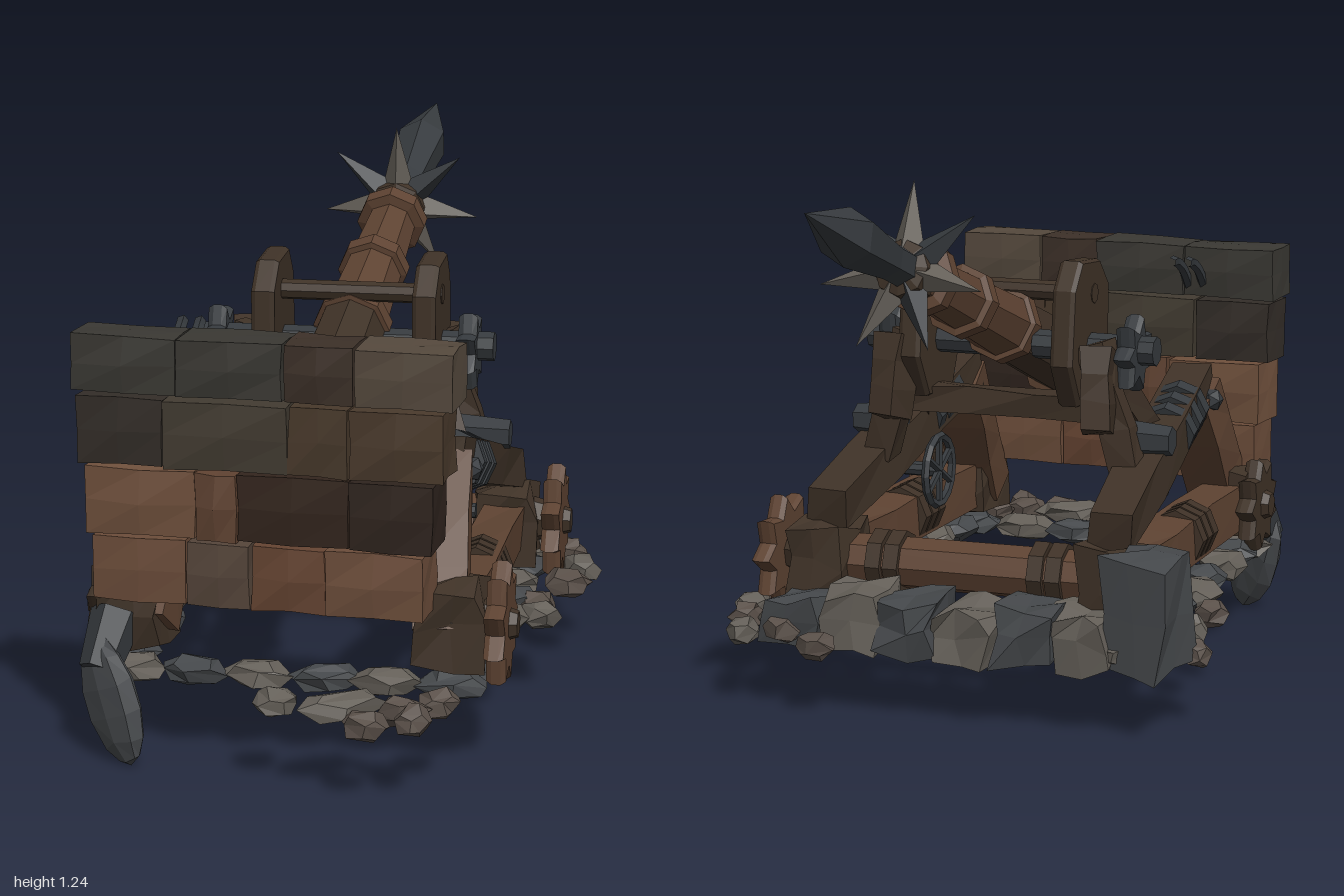
import * as THREE from 'three';

const WOOD = 0x5e4332, OAK = 0x3f3227, IRON = 0x363a3e, STONE = 0x645f58, SLATE = 0x45484b;
const mats = {};
const mat = c => mats[c] ??= new THREE.MeshStandardMaterial({ color: c, flatShading: true });
const V = (x, y, z) => new THREE.Vector3(x, y, z);

let seed = 7;
const rnd = () => (seed = (seed * 16807) % 2147483647) / 2147483647;

// Moves every vertex by an amount that depends on its place, so shared corners stay together
function rough(geo, amt, k = 0) {
  const p = geo.attributes.position;
  const noise = (a, b, c, n) => {
    const v = Math.sin(a * 127.1 + b * 311.7 + c * 74.7 + n * 19.3 + k * 7.7) * 43758.5453;
    return (v - Math.floor(v) - 0.5) * 2 * amt;
  };
  for (let i = 0; i < p.count; i++) {
    const [x, y, z] = [p.getX(i), p.getY(i), p.getZ(i)];
    const [a, b, c] = [x, y, z].map(v => Math.round(v * 500));
    p.setXYZ(i, x + noise(a, b, c, 1), y + noise(a, b, c, 2), z + noise(a, b, c, 3));
  }
  return geo;
}

function add(parent, name, geo, color, pos) {
  const m = new THREE.Mesh(geo, mat(color));
  m.name = name;
  if (pos) m.position.copy(pos);
  parent.add(m);
  return m;
}

// Lays a geometry whose length runs along z between two points
function span(parent, name, geo, color, a, b) {
  const m = new THREE.Mesh(geo, mat(color));
  m.name = name;
  m.position.copy(a).lerp(b, 0.5);
  m.lookAt(b);
  parent.add(m);
}
const beam = (p, name, color, a, b, w, h) =>
  span(p, name, rough(new THREE.BoxGeometry(w, h, a.distanceTo(b), 1, 1, 3), 0.008, w), color, a, b);
const rod = (p, name, color, a, b, r, r2 = r, sides = 8) =>
  span(p, name, new THREE.CylinderGeometry(r2, r, a.distanceTo(b), sides).rotateX(Math.PI / 2), color, a, b);

// Collars around a beam at fractions of its length
function bands(p, name, color, a, b, r, list) {
  const d = b.clone().sub(a).normalize().multiplyScalar(0.018);
  for (const t of list) {
    const c = a.clone().lerp(b, t);
    rod(p, name, color, c.clone().sub(d), c.clone().add(d), r);
  }
}

// Toothed disc facing sideways
function star(p, name, color, pos, r, inner, teeth, depth) {
  const s = new THREE.Shape();
  for (let i = 0; i < teeth * 2; i++) {
    const a = i * Math.PI / teeth, q = i % 2 ? inner : r;
    s[i ? 'lineTo' : 'moveTo'](Math.cos(a) * q, Math.sin(a) * q);
  }
  const g = new THREE.ExtrudeGeometry(s, { depth, bevelEnabled: true, bevelSize: 0.006, bevelThickness: 0.012, bevelSegments: 1 });
  add(p, name, g.translate(0, 0, -depth / 2).rotateY(Math.PI / 2), color, pos);
}

function rock(p, pos, sx, sy, sz, color) {
  const m = add(p, 'groundStone', rough(new THREE.DodecahedronGeometry(1), 0.15, rnd() * 50), color, pos);
  m.scale.set(sx, sy, sz);
  m.rotation.y = rnd() * 0.8 - 0.4;
}

function buildWall(root) {
  const wall = new THREE.Group();
  wall.name = 'blockWall';
  wall.position.set(-0.185, 0, 0.69);
  wall.rotation.y = -0.27;
  root.add(wall);
  const rows = [
    [0.365, 0.508, [-0.58, -0.37, -0.23, -0.07, 0.14], [0x6c4d3a, 0x55453a, 0x654432, 0x6c4d3a]],
    [0.515, 0.663, [-0.59, -0.35, -0.26, -0.02, 0.16], [0x6f503c, 0x604332, 0x33251d, 0x2f241e]],
    [0.67, 0.82, [-0.61, -0.42, -0.15, -0.02, 0.18], [0x332d28, 0x423b31, 0x48392b, 0x4a3a2c]],
    [0.83, 0.955, [-0.62, -0.39, -0.16, -0.01, 0.2], [0x3a3833, 0x3a3833, 0x3c3028, 0x55493d]],
  ];
  rows.forEach(([y0, y1, xs, cols], r) => {
    for (let i = 0; i < 4; i++) {
      const a = (xs[i] + 0.2) / 0.965, b = (xs[i + 1] + 0.2) / 0.965;
      const g = new THREE.BoxGeometry(b - a - 0.004, y1 - y0, 0.13 + (i % 2) * 0.008, 2, 2, 2);
      const p = g.attributes.position;
      // Blocks swell a little in the middle of the front and back
      for (let k = 0; k < p.count; k++)
        if (Math.abs(p.getX(k)) + Math.abs(p.getY(k)) < 0.001) p.setZ(k, p.getZ(k) * 1.15);
      add(wall, 'wallBlock', rough(g, 0.003, r * 4 + i), cols[i], V((a + b) / 2, (y0 + y1) / 2, 0));
    }
  });
}

function buildRam(frame) {
  const a = V(-0.005, 0.62, 0.57), b = V(0.065, 1.23, -1.02);
  const ram = new THREE.Group();
  ram.name = 'ram';
  ram.position.copy(a);
  ram.quaternion.setFromUnitVectors(V(0, 1, 0), b.clone().sub(a).normalize());
  frame.add(ram);
  const turned = (name, color, pts, n = 8) =>
    add(ram, name, new THREE.LatheGeometry(pts.map(([r, y]) => new THREE.Vector2(r, y)), n), color);
  turned('ramButt', WOOD, [[0, 0], [0.075, 0], [0.085, 0.2]]);
  turned('ramCollar', WOOD, [[0.08, 0.17], [0.105, 0.18], [0.105, 0.24], [0.08, 0.25]]);
  turned('ramBody', OAK, [[0.088, 0.22], [0.08, 0.64]]);
  turned('ramNeck', WOOD, [[0.08, 0.64], [0.055, 1.22]]);
  for (const [y, r] of [[0.62, 0.092], [0.87, 0.085], [1.1, 0.085]])
    turned('ramRing', WOOD, [[r - 0.03, y - 0.028], [r, y - 0.02], [r, y + 0.02], [r - 0.03, y + 0.028]]);
  turned('spikeCollar', OAK, [[0.04, 1.14], [0.07, 1.16], [0.065, 1.22], [0, 1.24]]);
  turned('spearHead', IRON, [[0.045, 1.2], [0.045, 1.3], [0.066, 1.5], [0, 1.71]], 6);
  // Ring of broad spikes
  for (let i = 0; i < 7; i++) {
    const t = i * Math.PI / 3.5 - 0.2, c = Math.cos(t), s = Math.sin(t);
    rod(ram, 'collarSpike', i % 2 ? IRON : STONE, V(c * 0.04, 1.19, s * 0.04), V(c * 0.2, 1.21, s * 0.2), 0.04, 0, 4);
  }
}

function buildSide(frame, s) {
  const P = (x, y, z) => V(x * s, y, z);
  const front = P(0.355, 0.32, 0.62), rear = P(0.36, 0.31, -0.27);
  // Lower rail, front brace and sloping upper rail
  beam(frame, 'lowerRail', WOOD, front, rear, 0.1, 0.11);
  bands(frame, 'railBand', OAK, front, rear, 0.072, [0.4, 0.45, 0.5]);
  const knee = P(0.31, 0.63, 0.42), tail = P(0.35, 0.43, -0.3);
  beam(frame, 'frontBrace', WOOD, P(0.33, 0.29, 0.65), knee, 0.12, 0.11);
  beam(frame, 'upperRail', OAK, P(0.305, 0.645, 0.46), tail, 0.1, 0.1);
  bands(frame, 'railWrap', IRON, knee, tail, 0.07, [0.14, 0.22, 0.3]);
  add(frame, 'kneeBolt', new THREE.IcosahedronGeometry(0.03), IRON, P(0.365, 0.61, 0.42));
  // Corner blocks
  for (const c of [front, rear])
    add(frame, 'cornerBlock', rough(new THREE.BoxGeometry(0.14, 0.17, 0.17, 2, 2, 2), 0.016, s), OAK, c);
  // Eight-sided bearing plate beside the ram
  const o = new THREE.Shape([[-0.07, -0.17], [0.07, -0.16], [0.13, -0.06], [0.11, 0.11], [0.06, 0.17], [-0.06, 0.16], [-0.12, 0.1], [-0.12, -0.06]]
    .map(([x, y]) => new THREE.Vector2(x, y)));
  const plate = new THREE.ExtrudeGeometry(o, { depth: 0.035, bevelSize: 0.006, bevelThickness: 0.01, bevelSegments: 1 });
  add(frame, 'bearingPlate', plate.translate(0, 0, -0.018).rotateY(Math.PI / 2), OAK, V(s * 0.19 + 0.02, 0.835, 0.0));
  rod(frame, 'axle', IRON, P(0.06, 0.8, 0), P(0.36, 0.8, 0), 0.035);
  star(frame, 'axleStar', IRON, P(0.3, 0.79, 0), 0.085, 0.05, 7, 0.02);
  // Short legs carrying the plate
  beam(frame, 'rearLeg', OAK, P(0.31, 0.52, -0.06), P(0.23, 0.82, -0.06), 0.06, 0.07);
  beam(frame, 'frontLeg', OAK, P(0.32, 0.54, 0.18), P(0.22, 0.76, 0.03), 0.04, 0.045);
  beam(frame, 'legBlock', OAK, P(0.26, 0.63, -0.14), P(0.25, 0.82, -0.09), 0.07, 0.09);
  rod(frame, 'legBolt', IRON, P(0.28, 0.59, 0), P(0.4, 0.59, 0), 0.045, 0.035, 6);
  // Spoked hand wheel inside the frame
  const w = P(0.25, 0.44, 0.15);
  add(frame, 'handWheel', new THREE.TorusGeometry(0.085, 0.011, 5, 14).rotateY(Math.PI / 2), IRON, w);
  for (let i = 0; i < 3; i++) {
    const d = V(0, Math.cos(i * Math.PI / 3), Math.sin(i * Math.PI / 3)).multiplyScalar(0.085);
    rod(frame, 'wheelSpoke', IRON, w.clone().sub(d), w.clone().add(d), 0.009, 0.009, 5);
  }
  rod(frame, 'wheelShaft', IRON, w, P(0.34, 0.44, 0.15), 0.018);
}

export function createModel() {
  const root = new THREE.Group();
  root.name = 'siegeRam';
  const frame = new THREE.Group();
  frame.name = 'frame';
  frame.position.set(-0.015, 0, -0.006);
  frame.rotation.y = -0.2;
  root.add(frame);

  buildWall(root);
  buildRam(frame);
  for (const s of [1, -1]) buildSide(frame, s);

  // Toothed discs: two on the left side, a smaller one at the other front corner
  for (const [x, z, r, color] of [[0.46, 0.62, 0.13, WOOD], [0.48, -0.26, 0.13, WOOD], [-0.43, 0.6, 0.11, OAK]]) {
    star(frame, 'toothedDisc', color, V(x, 0.315, z), r, r * 0.7, 9, 0.02);
    rod(frame, 'discHub', OAK, V(Math.sign(x) * 0.36, 0.315, z), V(x + Math.sign(x) * 0.04, 0.315, z), 0.075, 0.03, 7);
  }

  // Cross members
  rod(frame, 'plateCrossbar', OAK, V(-0.2, 0.925, 0.02), V(0.24, 0.925, 0.02), 0.024);
  beam(frame, 'ramCradle', OAK, V(-0.25, 0.66, -0.02), V(0.27, 0.66, -0.02), 0.08, 0.06);
  const l = V(-0.36, 0.31, -0.24), r = V(0.37, 0.31, -0.27);
  rod(frame, 'rearBeam', WOOD, l, r, 0.062);
  bands(frame, 'rearBeamRing', OAK, l, r, 0.076, [0.2, 0.26, 0.74, 0.8]);

  // Thin hooks behind the wall
  for (const x of [-0.27, -0.23]) {
    const c = new THREE.CatmullRomCurve3([V(x, 0.84, 0.66), V(x, 0.9, 0.6), V(x, 0.93, 0.54), V(x - 0.01, 0.935, 0.47)]);
    add(frame, 'wallHook', new THREE.TubeGeometry(c, 8, 0.013, 5), IRON);
  }

  // Low stone sill at the back, with a taller stone at one corner
  for (let i = 0; i < 7; i++) {
    const t = i / 6, tall = i ? 0.11 + (i % 3) * 0.012 : 0.26;
    const g = rough(new THREE.BoxGeometry(0.14, tall, 0.17, 2, 2, 2), 0.016, i);
    const m = add(frame, 'sillStone', g, i % 2 ? STONE : SLATE, V(-0.47 + t * 0.82, 0.15 + tall / 2, -0.385 - t * 0.035));
    m.rotation.y = (i % 3 - 1) * 0.1;
  }

  // Flat footing stones closing the base at the front and sides
  for (let i = 0; i < 6; i++)
    rock(frame, V(-0.36 + i * 0.145, 0.185, 0.67), 0.085, 0.034, 0.055, i % 2 ? SLATE : STONE);
  for (const s of [1, -1])
    for (let i = 0; i < 8; i++)
      rock(frame, V(s * (0.37 + rnd() * 0.04), 0.19, -0.4 + i * 0.14), 0.065, 0.036, 0.08, i % 2 ? SLATE : STONE);

  // Loose rubble: x, z, radius across and along
  const rubble = [
    [0.55, -0.4, 0.04, 0.04], [0.56, -0.32, 0.045, 0.04], [0.575, -0.2, 0.045, 0.06], [0.53, -0.05, 0.06, 0.06],
    [0.44, 0.12, 0.05, 0.06], [0.44, 0.22, 0.05, 0.05], [0.36, -0.49, 0.05, 0.035], [0.45, -0.42, 0.05, 0.045],
    [-0.18, 0.82, 0.05, 0.05], [-0.04, 0.87, 0.1, 0.05], [0.09, 0.9, 0.06, 0.035],
    [0.01, 0.96, 0.055, 0.04], [0.11, 0.96, 0.04, 0.04], [0.17, 0.86, 0.05, 0.04],
    [-0.5, -0.4, 0.04, 0.04], [-0.46, -0.35, 0.05, 0.04], [-0.47, -0.21, 0.04, 0.05], [-0.5, -0.06, 0.045, 0.045],
  ];
  for (const [x, z, a, b] of rubble)
    rock(root, V(x, 0.17 + rnd() * 0.02, z), a, 0.036, b, rnd() > 0.5 ? STONE : 0x5a5049);

  // Flat hanging tusk set diagonally at the front corner
  const tusk = add(root, 'tusk', rough(new THREE.SphereGeometry(1, 8, 7), 0.04), SLATE, V(-0.54, 0.135, 0.67));
  tusk.scale.set(0.085, 0.148, 0.035);
  tusk.rotation.set(0, -Math.PI / 4, 0.42);
  rod(root, 'tuskRoot', IRON, V(-0.57, 0.2, 0.65), V(-0.53, 0.31, 0.58), 0.045, 0.06, 6);

  return root;
}
